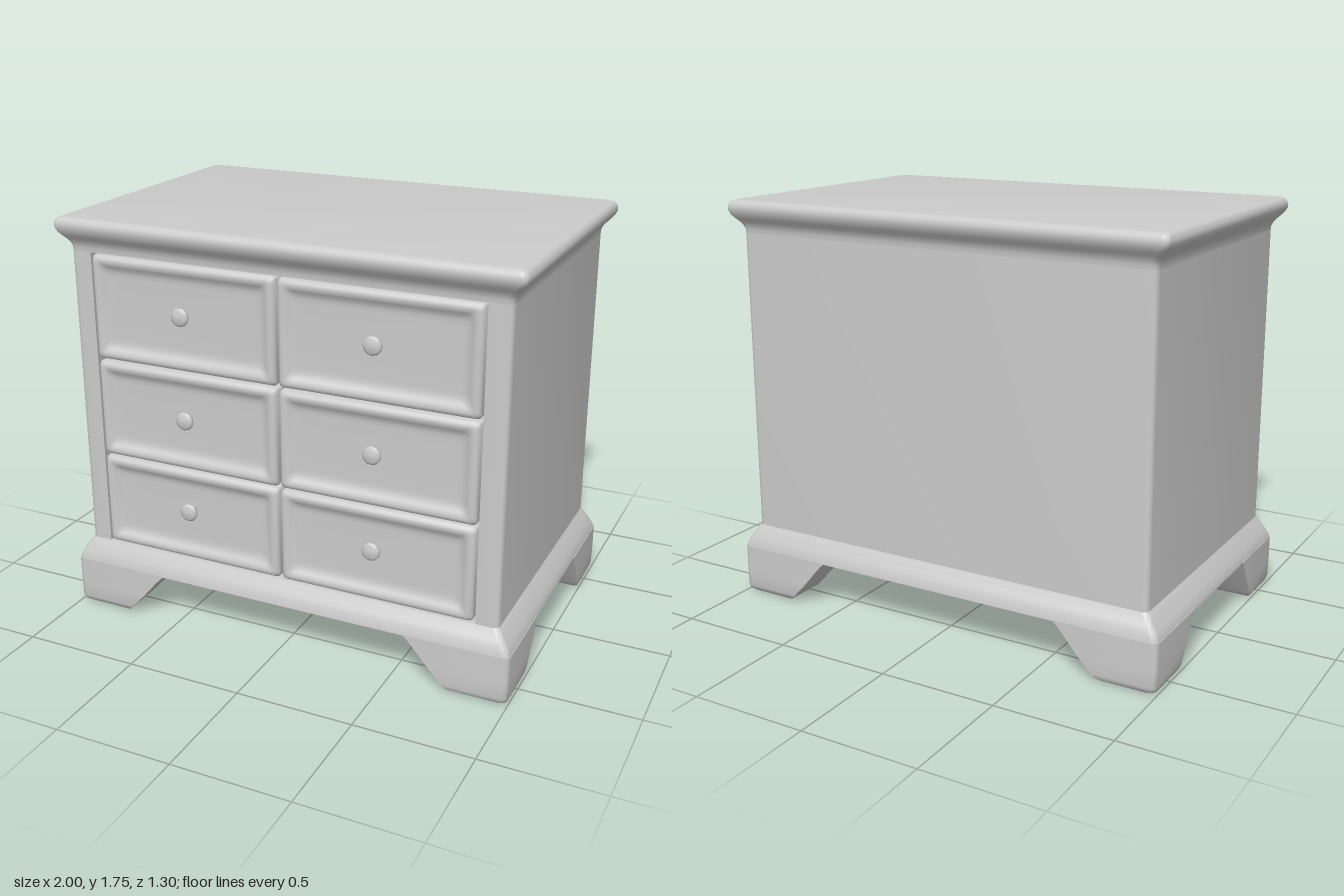
import * as THREE from 'three';
import { toCreasedNormals } from 'three/addons/utils/BufferGeometryUtils.js';

const material = new THREE.MeshStandardMaterial({ color: 0xcccccc });

// Counter-clockwise rounded rectangle as [x, y] points
function roundRect(hx, hy, r, n = 5) {
  const pts = [];
  [[1, 1], [-1, 1], [-1, -1], [1, -1]].forEach(([sx, sy], q) => {
    for (let i = 0; i <= n; i++) {
      const a = (q + i / n) * Math.PI / 2;
      pts.push([sx * (hx - r) + r * Math.cos(a), sy * (hy - r) + r * Math.sin(a)]);
    }
  });
  return pts;
}

// Closed loft along +z through rings [{ z, pts }], with flat caps at both ends
function loft(rings) {
  const n = rings[0].pts.length, pos = [], idx = [];
  for (const { z, pts } of rings) for (const [x, y] of pts) pos.push(x, y, z);
  for (let k = 0; k < rings.length - 1; k++) {
    for (let i = 0; i < n; i++) {
      const a = k * n + i, b = k * n + (i + 1) % n;
      idx.push(a, b, b + n, a, b + n, a + n);
    }
  }
  const cap = (ring, flip) => {
    const start = pos.length / 3;
    for (const [x, y] of ring.pts) pos.push(x, y, ring.z);
    const contour = ring.pts.map(p => new THREE.Vector2(...p));
    for (const [a, b, c] of THREE.ShapeUtils.triangulateShape(contour, [])) {
      if (flip) idx.push(start + a, start + c, start + b);
      else idx.push(start + a, start + b, start + c);
    }
  };
  cap(rings[0], true);
  cap(rings[rings.length - 1], false);
  const g = new THREE.BufferGeometry();
  g.setAttribute('position', new THREE.Float32BufferAttribute(pos, 3));
  g.setIndex(idx);
  return toCreasedNormals(g, 0.75);
}

// Vertical loft of rounded rectangles from [y, halfWidth, halfDepth]
function moulding(profile) {
  const rings = profile.map(([y, hx, hz]) => ({ z: y, pts: roundRect(hx, hz, 0.025) }));
  return loft(rings).rotateX(-Math.PI / 2);
}

// Case section with a shallow opening at the front for the drawers
function caseGeometry(y0, y1) {
  const shape = new THREE.Shape();
  const outline = roundRect(0.94, 0.605, 0.025);
  const front = outline.slice(12), notch = [[-0.845, -0.605], [-0.845, -0.53], [0.845, -0.53], [0.845, -0.605]];
  const pts = [...outline.slice(0, 12), ...front.slice(0, 6), ...notch, ...front.slice(6)];
  shape.setFromPoints(pts.map(p => new THREE.Vector2(...p)));
  const g = new THREE.ExtrudeGeometry(shape, { depth: y1 - y0, bevelEnabled: false });
  g.deleteAttribute('uv');
  return toCreasedNormals(g.rotateX(-Math.PI / 2).translate(0, y0, 0), 0.75);
}

// Bracket foot: flared block, inner sides sweeping up to the base
function footGeometry(sx, sz) {
  const levels = [ // y, outer x, outer z, inner x, inner z
    [0, 0.98, 0.625, 0.765, 0.415], [0.012, 0.994, 0.64, 0.742, 0.398],
    [0.03, 0.998, 0.645, 0.725, 0.386], [0.1, 1.0, 0.645, 0.66, 0.345],
    [0.165, 1.0, 0.645, 0.605, 0.303], [0.195, 1.0, 0.645, 0.578, 0.287],
    [0.215, 1.0, 0.645, 0.555, 0.27]];
  const rings = levels.map(([y, X, Z, xi, zi]) => {
    const r = 0.025, c = 0.06 + 0.5 * y;
    const pts = [[X, zi]];
    for (let i = 0; i <= 5; i++) {
      const a = i * Math.PI / 10;
      pts.push([X - r + r * Math.cos(a), Z - r + r * Math.sin(a)]);
    }
    pts.push([xi, Z], [xi, zi + c], [xi + c, zi]);
    const placed = pts.map(([x, z]) => [sx * x, -sz * z]);
    return { z: y, pts: sx * sz > 0 ? placed.reverse() : placed };
  });
  return loft(rings).rotateX(-Math.PI / 2);
}

// Drawer front with a raised rounded rim and a sunken panel
function drawerGeometry(w, h) {
  const steps = [ // inset, z
    [0, 0.54], [0, 0.598], [0.004, 0.609], [0.012, 0.617], [0.022, 0.619], [0.034, 0.617],
    [0.045, 0.61], [0.058, 0.602], [0.072, 0.598], [0.09, 0.597]];
  return loft(steps.map(([d, z]) => ({
    z, pts: roundRect(w / 2 - d, h / 2 - d, 0.018 + d * 0.1)
  })));
}

export function createModel() {
  const group = new THREE.Group();
  const add = (name, geometry, parent = group) => {
    const mesh = new THREE.Mesh(geometry, material);
    mesh.name = name;
    parent.add(mesh);
    return mesh;
  };

  // Carcass: flared skirt, case and moulded top
  add('baseSkirt', moulding([
    [0.21, 0.998, 0.643], [0.225, 0.995, 0.641], [0.25, 0.984, 0.634], [0.275, 0.967, 0.624],
    [0.3, 0.952, 0.613], [0.32, 0.943, 0.607], [0.325, 0.94, 0.605]].map(([y, x, z]) => [
    y > 0.3 ? y - 0.01 : y, x, z])));
  add('case', caseGeometry(0.315, 1.61));
  add('top', moulding([
    [1.61, 0.94, 0.605], [1.628, 0.941, 0.606], [1.645, 0.948, 0.611], [1.66, 0.96, 0.62],
    [1.675, 0.976, 0.631], [1.69, 0.988, 0.64], [1.705, 0.996, 0.645], [1.72, 0.997, 0.646],
    [1.735, 0.992, 0.642], [1.745, 0.983, 0.634], [1.75, 0.968, 0.62]]));

  // Four bracket feet
  for (const sx of [1, -1]) {
    for (const sz of [1, -1]) {
      add(`${sz > 0 ? 'front' : 'back'}${sx > 0 ? 'Left' : 'Right'}Foot`, footGeometry(sx, sz));
    }
  }

  // Two columns of three drawers, each with a knob
  const rows = [ // bottom, top, knob height
    ['bottom', 0.322, 0.726, 0.55], ['middle', 0.734, 1.154, 0.96], ['top', 1.163, 1.605, 1.4]];
  const knobProfile = [[0.014, 0.59], [0.014, 0.622], [0.03, 0.627], [0.039, 0.635],
    [0.038, 0.643], [0.026, 0.65], [0, 0.653]].map(p => new THREE.Vector2(...p));
  const knob = new THREE.LatheGeometry(knobProfile, 12).rotateX(Math.PI / 2);
  for (const [row, y0, y1, knobY] of rows) {
    for (const side of [1, -1]) {
      const drawer = new THREE.Group();
      drawer.name = `${row}${side > 0 ? 'Left' : 'Right'}Drawer`;
      add('drawerFront', drawerGeometry(0.832, y1 - y0), drawer)
        .position.set(side * 0.421, (y0 + y1) / 2, 0);
      add('knob', knob, drawer).position.set(side * 0.415, knobY, 0);
      group.add(drawer);
    }
  }
  return group;
}
